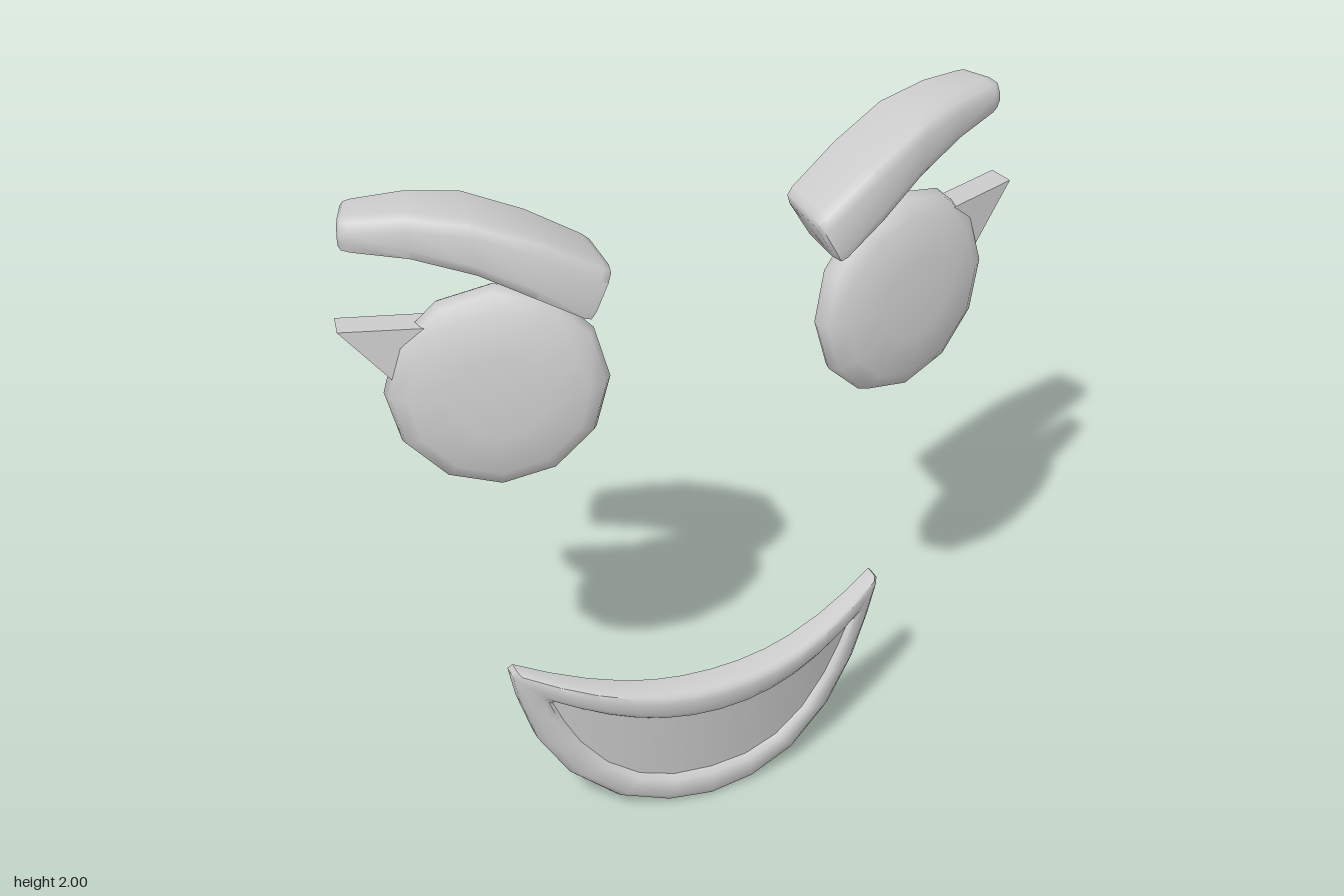
import * as THREE from 'three';
import { toCreasedNormals } from 'three/addons/utils/BufferGeometryUtils.js';

const V = (x, y, z) => new THREE.Vector3(x, y, z);
const material = new THREE.MeshStandardMaterial({ color: 0xcccccc });
const shellMaterial = new THREE.MeshStandardMaterial({ color: 0xcccccc, side: THREE.DoubleSide });
const centre = (pts) => pts.reduce((s, p) => s.add(p), V(0, 0, 0)).divideScalar(pts.length);

// Skin a list of point rows; side = -1 mirrors it in x
function skin(rows, { closed = true, side = 1, crease = 0.7 } = {}) {
  const out = [];
  const tri = (a, b, c) => {
    const area = b.clone().sub(a).cross(c.clone().sub(a)).length();
    if (area < 1e-9) return;
    for (const p of side > 0 ? [a, b, c] : [a, c, b]) out.push(p.x * side, p.y, p.z);
  };
  for (let j = 0; j < rows.length - 1; j++) {
    const r = rows[j], s = rows[j + 1], n = r.length;
    for (let i = 0; i < (closed ? n : n - 1); i++) {
      const k = (i + 1) % n;
      tri(r[i], s[i], s[k]);
      tri(r[i], s[k], r[k]);
    }
  }
  const g = new THREE.BufferGeometry();
  g.setAttribute('position', new THREE.Float32BufferAttribute(out, 3));
  return toCreasedNormals(g, crease);
}

function mesh(name, geometry, mat = material) {
  const m = new THREE.Mesh(geometry, mat);
  m.name = name;
  return m;
}

// Eye: 12-sided domed shell, open at the back
function eye(side) {
  const profile = [[0.276, -0.004], [0.286, 0.016], [0.274, 0.046], [0.23, 0.075], [0.12, 0.09], [0, 0.094]];
  const g = new THREE.LatheGeometry(profile.map(([r, y]) => new THREE.Vector2(r, y)), 12);
  g.rotateX(Math.PI / 2);
  const m = mesh('eye', toCreasedNormals(g, 1.2), shellMaterial);
  m.position.set(0.56 * side, 1.506, 0.022);
  m.rotation.set(-0.06, 0.28 * side, 0, 'YXZ');
  return m;
}

// Eyelash: triangular wedge at the outer side of the eye
function eyelash(side) {
  const front = [V(0.715, 1.7, 0.018), V(0.943, 1.7, -0.058), V(0.795, 1.522, -0.004)];
  const back = [V(0.69, 1.7, -0.05), V(0.927, 1.7, -0.127), V(0.765, 1.51, -0.1)];
  const cap = (ring) => ring.map(() => centre(ring));
  return mesh('eyelash', skin([cap(back), back, front, cap(front)], { side, crease: 0.2 }));
}

// Eyebrow: thick curved bar; each station is x, y, z of the front bottom, front top, back top, back bottom
function eyebrow(side) {
  const stations = [
    [[0.345, 1.683, 0.153], [0.272, 1.82, 0.14], [0.265, 1.815, -0.045], [0.335, 1.69, -0.035]],
    [[0.48, 1.765, 0.12], [0.45, 1.925, 0.11], [0.43, 1.915, -0.09], [0.46, 1.77, -0.08]],
    [[0.61, 1.835, 0.065], [0.62, 1.988, 0.05], [0.58, 1.98, -0.13], [0.58, 1.84, -0.12]],
    [[0.76, 1.88, -0.005], [0.76, 2.004, -0.015], [0.72, 1.997, -0.16], [0.72, 1.885, -0.15]],
    [[0.92, 1.9, -0.08], [0.918, 1.993, -0.085], [0.868, 1.983, -0.2], [0.868, 1.905, -0.195]],
  ].map((s) => s.map((p) => V(...p)));
  // Round the two front corners and keep the back ones sharp
  const ring = (c) => c.flatMap((p, i) => {
    const r = i < 2 ? 0.038 : 0;
    const toward = (q) => p.clone().add(q.clone().sub(p).setLength(r));
    const a = toward(c[(i + 3) % 4]), b = toward(c[(i + 1) % 4]);
    return [a, a.clone().add(b).multiplyScalar(0.25).addScaledVector(p, 0.5), b];
  });
  const rings = stations.map(ring);
  // Rounded end: full ring just inside, two shrinking rings, then the centre
  const end = (tip, next) => {
    const c = centre(tip);
    const step = (inset, shrink) => tip.map((p, i) => p.clone().lerp(next[i], inset).lerp(c, shrink));
    return [step(0.17, 0), step(0.05, 0.05), step(0, 0.22), tip.map(() => c)];
  };
  const rows = [
    ...end(rings[0], rings[1]).reverse(),
    ...rings.slice(1, 4),
    ...end(rings[4], rings[3]),
  ];
  return mesh('eyebrow', skin(rows, { side, crease: 0.95 }));
}

// Mouth: crescent rim around a recessed panel, bowed backwards at the sides
function mouth() {
  const N = 12;
  const zFront = (x, y) => 0.113 + 0.182 * y - 0.59 * x * x;
  const zBack = (x, y) => 0.032 + 0.15 * y - 0.45 * x * x;
  const arc = (half) => {
    const left = half.slice(1).reverse().map(([x, y]) => V(-x, y, 0));
    const curve = new THREE.CatmullRomCurve3([...left, ...half.map(([x, y]) => V(x, y, 0))]);
    return curve.getPoints(N);
  };
  const outerTop = arc([[0, 0.453], [0.13, 0.458], [0.25, 0.475], [0.4, 0.513], [0.54, 0.56]]);
  const outerLow = arc([[0, 0.003], [0.13, 0.018], [0.27, 0.062], [0.4, 0.165], [0.485, 0.3], [0.53, 0.44], [0.552, 0.545]]);
  const innerTop = arc([[0, 0.345], [0.12, 0.352], [0.23, 0.372], [0.34, 0.405], [0.445, 0.446]]);
  const innerLow = arc([[0, 0.105], [0.11, 0.11], [0.21, 0.137], [0.3, 0.195], [0.375, 0.285], [0.42, 0.37], [0.45, 0.44]]);
  const loop = (top, low) => [...top, ...low.slice().reverse()];
  const outer = loop(outerTop, outerLow), inner = loop(innerTop, innerLow);

  // Rim section: blend from outer to inner outline, on the front or back surface
  const row = (t, z, d) => outer.map((p, i) => {
    const q = p.clone().lerp(inner[i], t);
    return q.setZ(z(q.x, q.y) + d);
  });
  const rim = skin([
    row(1, zBack, 0.004), row(1, zBack, 0), row(0, zBack, 0), row(0, zFront, -0.018), row(0.08, zFront, -0.006),
    row(0.25, zFront, 0), row(0.65, zFront, 0), row(0.85, zFront, -0.01), row(1, zFront, -0.027),
  ], { crease: 0.8 });

  // Panel sheets between the upper and lower inner outlines
  const sheet = (from, to, z, d) => skin([0, 0.25, 0.5, 0.75, 1].map((t) => from.map((p, i) => {
    const q = p.clone().lerp(to[i], t);
    return q.setZ(z(q.x, q.y) + d);
  })), { closed: false });

  const g = new THREE.Group();
  g.name = 'mouth';
  g.add(
    mesh('mouthRim', rim),
    mesh('mouthPanelFront', sheet(innerTop, innerLow, zFront, -0.027)),
    mesh('mouthPanelBack', sheet(innerLow, innerTop, zBack, 0.004)),
  );
  return g;
}

export function createModel() {
  const model = new THREE.Group();
  model.name = 'face';
  for (const [side, label] of [[1, 'left'], [-1, 'right']]) {
    const g = new THREE.Group();
    g.name = label + 'EyeGroup';
    g.add(eye(side), eyelash(side), eyebrow(side));
    model.add(g);
  }
  model.add(mouth());
  return model;
}
